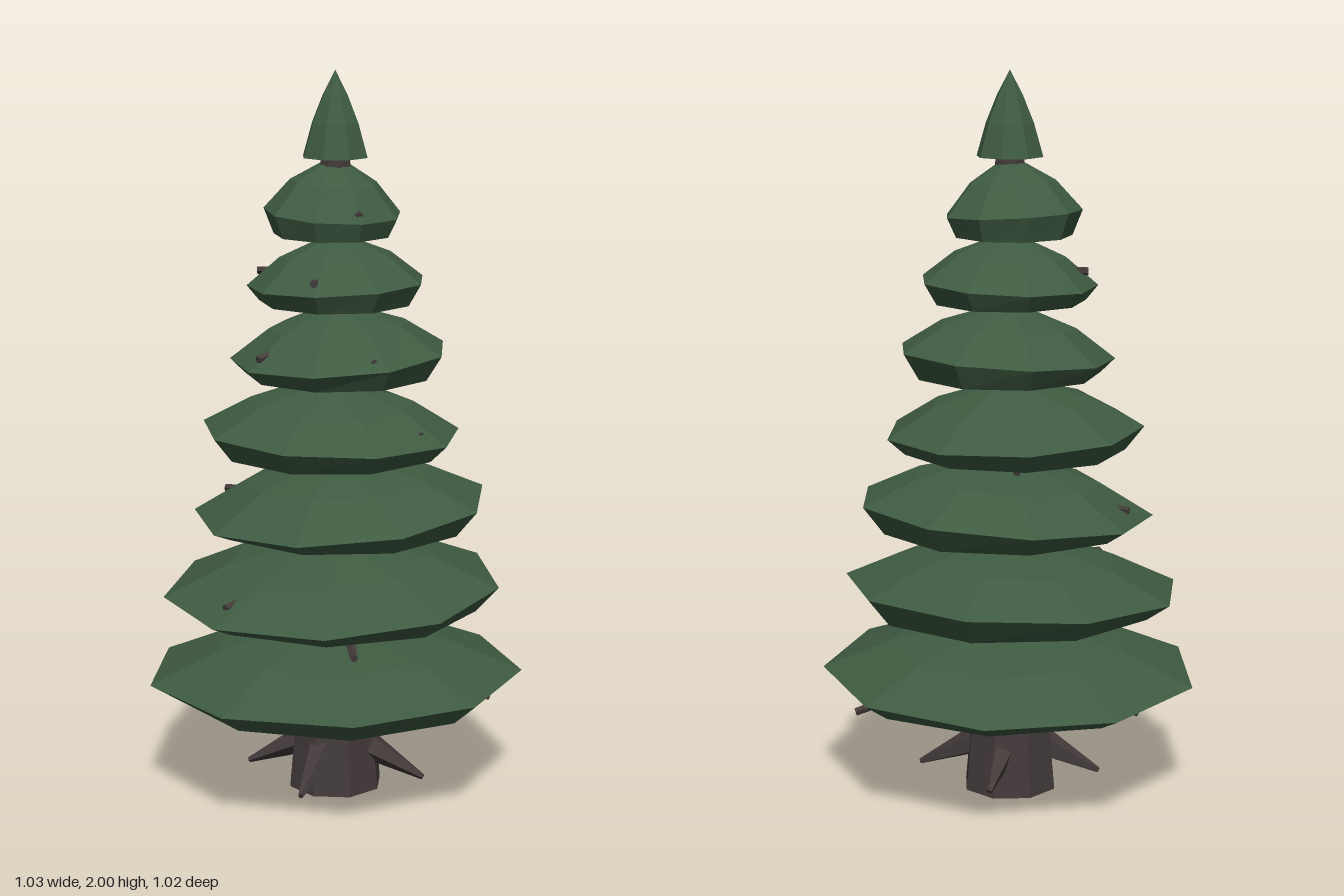
import * as THREE from 'three';

const RAD = Math.PI / 180;

// Faceted skin over rings listed from bottom to top; each ring is an array of points
function loft(rings) {
  const pos = [];
  const tri = (a, b, c) => {
    const n = new THREE.Vector3().subVectors(b, a).cross(new THREE.Vector3().subVectors(c, a));
    if (n.length() > 1e-9) for (const p of [a, b, c]) pos.push(p.x, p.y, p.z);
  };
  for (let r = 0; r < rings.length - 1; r++) {
    const lo = rings[r], hi = rings[r + 1], n = lo.length;
    for (let i = 0; i < n; i++) {
      const j = (i + 1) % n;
      tri(lo[i], hi[i], lo[j]);
      tri(hi[i], hi[j], lo[j]);
    }
  }
  const g = new THREE.BufferGeometry();
  g.setAttribute('position', new THREE.Float32BufferAttribute(pos, 3));
  g.computeVertexNormals();
  return g;
}

// Ring of n points around (ox, oz); the height may vary with the angle
function ring(n, phase, radius, height, ox = 0, oz = 0) {
  return Array.from({ length: n }, (_, i) => {
    const a = phase * RAD + (i / n) * Math.PI * 2;
    return new THREE.Vector3(ox + Math.cos(a) * radius, height(a), oz + Math.sin(a) * radius);
  });
}

// Faceted tapered limb between two points
function limb(from, to, r0, r1, sides) {
  const a = new THREE.Vector3(...from), b = new THREE.Vector3(...to);
  const d = b.clone().sub(a);
  const g = new THREE.CylinderGeometry(r1, r0, d.length(), sides).toNonIndexed();
  g.computeVertexNormals();
  g.applyQuaternion(new THREE.Quaternion().setFromUnitVectors(new THREE.Vector3(0, 1, 0), d.normalize()));
  g.translate((a.x + b.x) / 2, (a.y + b.y) / 2, (a.z + b.z) / 2);
  return g;
}

export function createModel() {
  const tree = new THREE.Group();
  tree.name = 'pineTree';
  const needles = new THREE.MeshStandardMaterial({ color: 0x3f5b42 });
  needles.name = 'needle green';
  const bark = new THREE.MeshStandardMaterial({ color: 0x433a3a });
  bark.name = 'dark bark';
  const add = (name, geometry, material, parent = tree) => {
    const m = new THREE.Mesh(geometry, material);
    m.name = name;
    parent.add(m);
  };

  // Trunk: flared foot, slow taper upwards
  const trunk = [[0, 0], [0.133, 0], [0.107, 0.29], [0.087, 0.5], [0.072, 0.9], [0.062, 1.4], [0.054, 1.6], [0.04, 1.78], [0, 1.78]];
  add('trunk', loft(trunk.map(([r, y]) => ring(8, 12, r, () => y))), bark);

  // Roots: direction in degrees, reach
  const roots = new THREE.Group();
  roots.name = 'roots';
  tree.add(roots);
  for (const [deg, reach] of [[4, 0.26], [97, 0.25], [176, 0.25], [278, 0.2]]) {
    const c = Math.cos(deg * RAD), s = Math.sin(deg * RAD);
    add('root', limb([c * 0.07, 0.135, s * 0.07], [c * reach, 0.045, s * reach], 0.048, 0.008, 5), bark, roots);
  }

  // Foliage tiers: bottom y, rim y, top y, radius, phase in degrees,
  // rim tilt towards +x and +z, offset of the rim in x and z
  const tiers = [
    [0.29, 0.34, 0.48, 0.523, -91, 0.01, 0.01, 0, 0.012],
    [0.53, 0.585, 0.72, 0.468, -83, 0.015, -0.02, -0.008, 0.005],
    [0.76, 0.81, 0.95, 0.408, -69, 0.025, -0.015, 0.012, -0.012],
    [0.97, 1.025, 1.16, 0.357, -105, -0.01, 0.005, -0.01, 0.008],
    [1.18, 1.235, 1.37, 0.298, -72, 0.015, -0.01, 0.01, -0.003],
    [1.38, 1.43, 1.56, 0.244, -72, 0.01, 0, 0.004, 0],
    [1.56, 1.62, 1.765, 0.188, -70, -0.01, -0.005, -0.01, -0.013],
  ];
  tiers.forEach(([y0, y1, y2, R, phase, tx, tz, ox, oz], k) => {
    const h = y2 - y1;
    // Tilt and offset fade out towards the trunk
    const level = (scale, y, tilt) => ring(9, phase, R * scale,
      (a) => y + tilt * (tx * Math.cos(a) + tz * Math.sin(a)), ox * scale, oz * scale);
    add('foliageTier' + (k + 1), loft([
      level(0, y0, 0), level(0.86, y0, 0), level(1, y1, 1),
      level(0.63, y1 + h * 0.57, 0.6), level(0.22, y1 + h * 0.9, 0.2), level(0, y2, 0),
    ]), needles);
  });

  // Pointed crown
  const crown = [[0, 1.77], [0.092, 1.77], [0.066, 1.86], [0.035, 1.935], [0, 2]];
  add('crown', loft(crown.map(([r, y]) => ring(8, 5, r, () => y))), needles);

  // Twigs poking out of the foliage: tip x, y, z and how much higher the trunk end sits
  const twigs = new THREE.Group();
  twigs.name = 'twigs';
  tree.add(twigs);
  const tips = [
    [0.41, 0.24, -0.15, 0.12], [-0.37, 0.26, -0.1, 0.07], [0.16, 0.505, 0.395, 0.07],
    [-0.21, 0.597, 0.345, 0.04], [0.33, 0.605, 0.13, 0], [-0.335, 0.82, -0.06, 0.01],
    [-0.27, 0.755, -0.1, 0.06], [0.23, 0.965, -0.06, 0.05], [-0.06, 0.965, -0.27, 0.05],
    [0.27, 1.045, 0.11, -0.01], [-0.155, 1.25, 0.21, 0.04], [0.165, 1.255, 0.205, 0],
    [0, 1.46, 0.215, 0], [0.1, 1.63, 0.12, 0.03], [-0.21, 1.46, 0.03, 0],
  ];
  for (const [x, y, z, rise] of tips)
    add('twig', limb([x * 0.15, y + rise, z * 0.15], [x, y, z], 0.019, 0.011, 5), bark, twigs);

  return tree;
}
